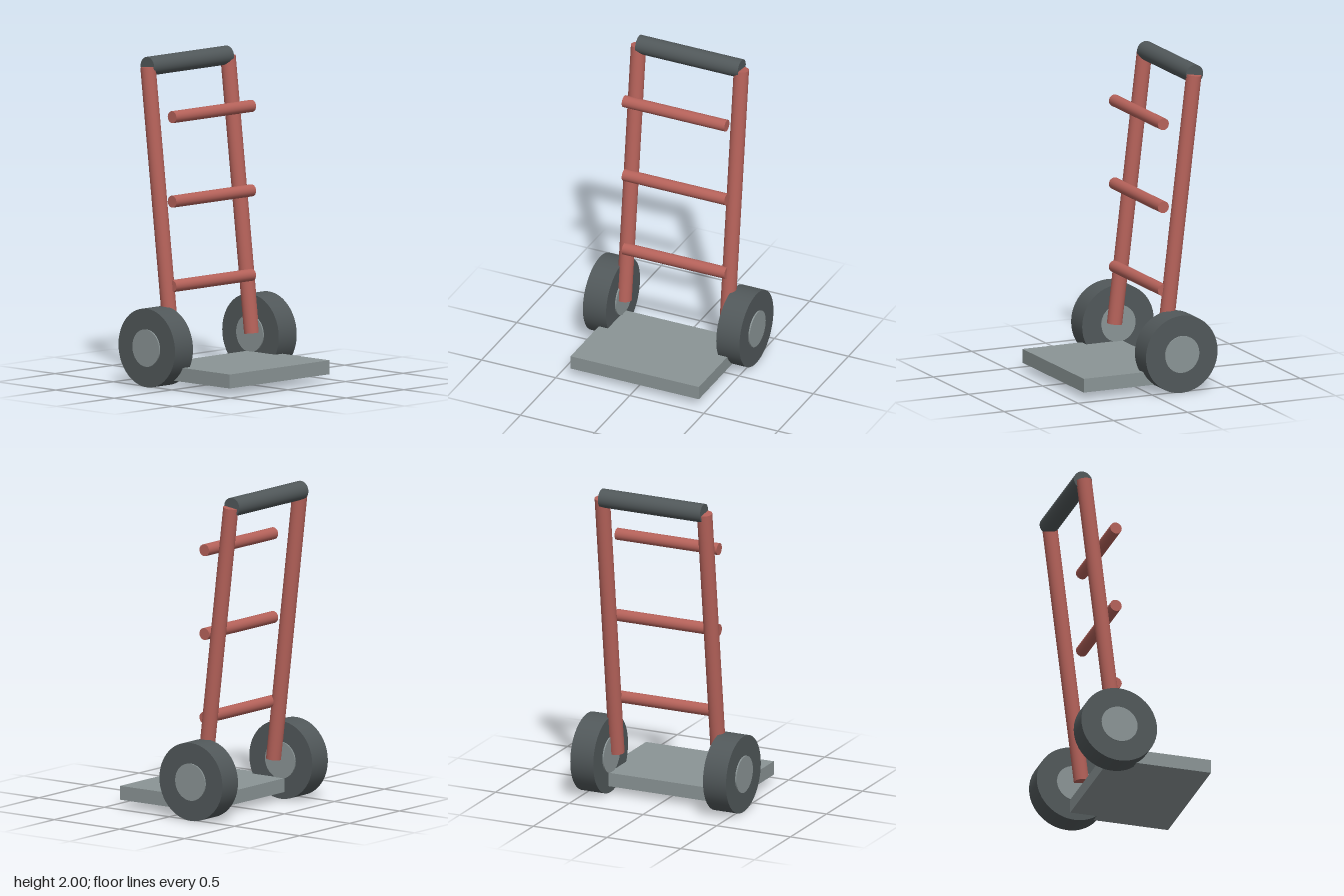
import * as THREE from 'three';

export function createModel() {
  const group = new THREE.Group();
  const material = (name, color) => {
    const m = new THREE.MeshStandardMaterial({ color });
    m.name = name;
    return m;
  };
  const red = material('red paint', 0xb5625a);
  const dark = material('dark rubber', 0x51585a);
  const grey = material('grey metal', 0x8a9495);

  const add = (name, geometry, mat, x, y, z) => {
    const mesh = new THREE.Mesh(geometry, mat);
    mesh.name = name;
    mesh.position.set(x, y, z);
    group.add(mesh);
    return mesh;
  };
  // Cylinder lying along x
  const bar = (radius, length, sides = 32) =>
    new THREE.CylinderGeometry(radius, radius, length, sides).rotateZ(Math.PI / 2);

  // Load plate
  add('loadPlate', new THREE.BoxGeometry(0.866, 0.086, 0.645), grey, 0, 0.09, 0.107);

  // Leaning rails, wheels and hubs on both sides
  for (const [side, s] of [['left', 1], ['right', -1]]) {
    const rail = add(side + 'Rail', new THREE.CylinderGeometry(0.047, 0.047, 1.7, 24), red,
      s * 0.347, 1.095, -0.253);
    rail.rotation.x = -0.12;
    add(side + 'Wheel', bar(0.242, 0.156, 48), dark, s * 0.45, 0.244, -0.187);
    add(side + 'Hub', bar(0.115, 0.173), grey, s * 0.45, 0.244, -0.187);
  }

  // Cross rungs
  [0.61, 1.13, 1.65].forEach((y, i) => add('rung' + (i + 1), bar(0.037, 0.692, 24), red, 0, y, -0.15));

  // Handle grip
  add('handleGrip', bar(0.058, 0.692), dark, 0, 1.942, -0.361);

  return group;
}
